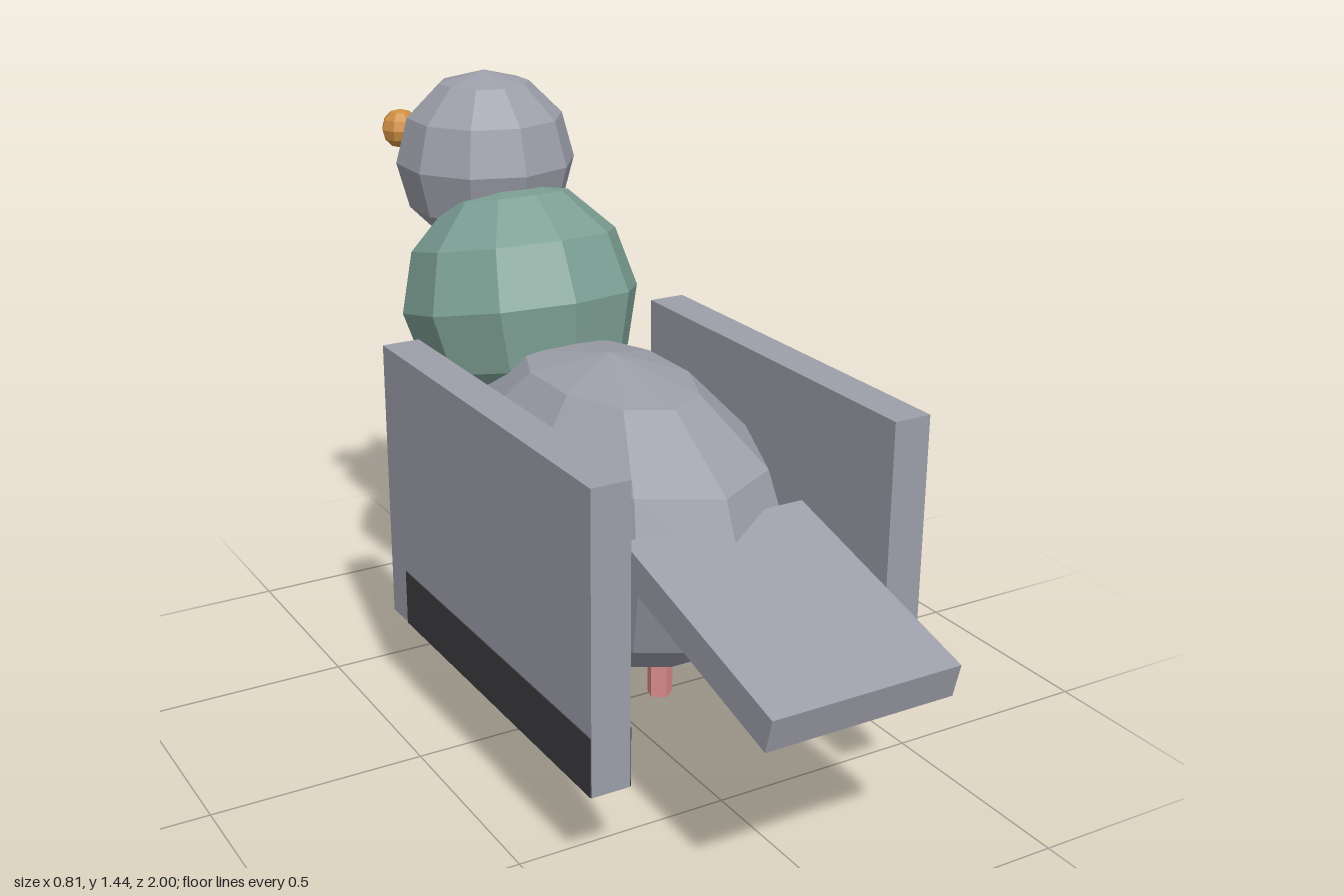
import * as THREE from 'three';

const mat = (name, color) => {
  const m = new THREE.MeshStandardMaterial({ color, flatShading: true });
  m.name = name;
  return m;
};

export function createModel() {
  const bird = new THREE.Group();
  bird.name = 'bird';
  const grey = mat('feather grey', 0x9c9ea9);
  const dark = mat('wing bar charcoal', 0x3c3c41);
  const green = mat('neck green', 0x7c9f94);
  const pink = mat('leg pink', 0xd98a8a);
  const orange = mat('eye orange', 0xcf8f42);
  const brown = mat('beak brown', 0x857b6d);

  const add = (name, geometry, material, x, y, z, tilt = 0) => {
    const mesh = new THREE.Mesh(geometry, material);
    mesh.name = name;
    mesh.position.set(x, y, z);
    mesh.rotation.x = tilt;
    bird.add(mesh);
    return mesh;
  };
  // Faceted ball with a vertex line running along the z axis
  const ball = (rx, ry, rz, sides = 10, rings = 6) =>
    new THREE.SphereGeometry(1, sides, rings).rotateY(Math.PI / 2).scale(rx, ry, rz);

  // Body, neck and head; the bird looks towards -z
  add('body', ball(0.33, 0.357, 0.57), grey, 0, 0.541, 0);
  add('neck', ball(0.29, 0.29, 0.29), green, 0, 0.907, -0.436, -0.22);
  add('head', ball(0.22, 0.22, 0.22), grey, 0, 1.217, -0.615);

  // Four-sided beak
  const beak = new THREE.ConeGeometry(0.062, 0.21, 4).rotateX(-Math.PI / 2);
  add('beak', beak, brown, 0, 1.17, -0.895);

  // Sloping tail slab
  add('tail', new THREE.BoxGeometry(0.445, 0.08, 0.57), grey, 0, 0.543, 0.715, 0.26);

  // Mirrored eyes, wings, wing bars and legs
  for (const [side, s] of [['left', -1], ['right', 1]]) {
    add(side + 'Eye', ball(0.048, 0.048, 0.048, 8, 6), orange, s * 0.163, 1.285, -0.755);
    add(side + 'Wing', new THREE.BoxGeometry(0.09, 0.675, 0.985), grey, s * 0.36, 0.5425, 0.1475);
    add(side + 'WingBar', new THREE.BoxGeometry(0.095, 0.135, 0.899), dark, s * 0.36, 0.2735, 0.1895);
    add(side + 'Leg', new THREE.CylinderGeometry(0.032, 0.032, 0.25, 5), pink, s * 0.135, 0.125, 0.01);
  }
  return bird;
}
